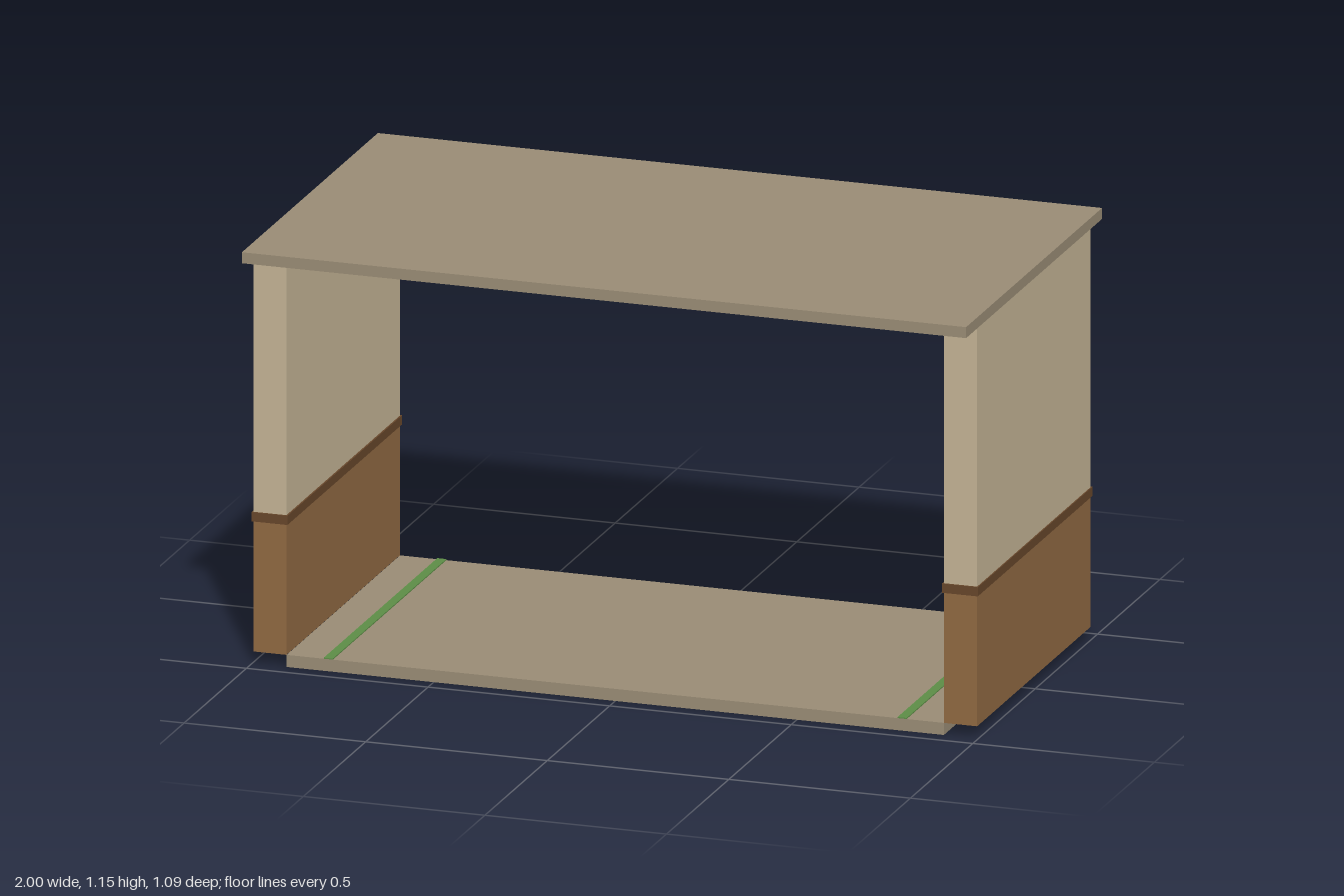
import * as THREE from 'three';

const material = (name, color) => {
  const m = new THREE.MeshStandardMaterial({ color });
  m.name = name;
  return m;
};

export function createModel() {
  const slabStone = material('slab taupe', 0x988b74);
  const plaster = material('plaster sand', 0xc2b294);
  const wood = material('wood brown', 0x8f6841);
  const darkWood = material('dark wood', 0x66462a);
  const panel = material('panel charcoal', 0x2b3338);
  const green = material('strip green', 0x5c8c46);

  const group = new THREE.Group();
  group.name = 'shelter';

  // Box given by its size and centre
  const box = (name, mat, [w, h, d], [x, y, z]) => {
    const mesh = new THREE.Mesh(new THREE.BoxGeometry(w, h, d), mat);
    mesh.name = name;
    mesh.position.set(x, y, z);
    group.add(mesh);
    return mesh;
  };

  // Floor and overhanging roof
  box('floor', slabStone, [1.81, 0.033, 0.91], [0, 0.0165, 0]);
  box('roof', slabStone, [1.994, 0.03, 1.09], [0, 1.135, 0]);

  for (const [side, s] of [['left', 1], ['right', -1]]) {
    // Side wall: wooden base, trim rail and plaster above
    box(side + 'WallBase', wood, [0.091, 0.367, 0.91], [s * 0.951, 0.2165, 0]);
    box(side + 'WallUpper', plaster, [0.091, 0.72, 0.91], [s * 0.951, 0.76, 0]);
    box(side + 'WallTrim', darkWood, [0.099, 0.025, 0.92], [s * 0.9505, 0.402, 0]);
    // Inlaid floor strip and ceiling panel
    box(side + 'FloorStrip', green, [0.025, 0.005, 0.91], [s * 0.79, 0.0335, 0]);
    box(side + 'CeilingPanel', panel, [0.3, 0.015, 0.3], [s * 0.45, 1.1125, 0]);
  }

  // Tilted plate hanging under the ceiling, lower at the front
  const plate = box('tiltedPlate', panel, [0.255, 0.012, 0.25], [0, 1.032, 0]);
  plate.rotation.x = 0.35;

  return group;
}
